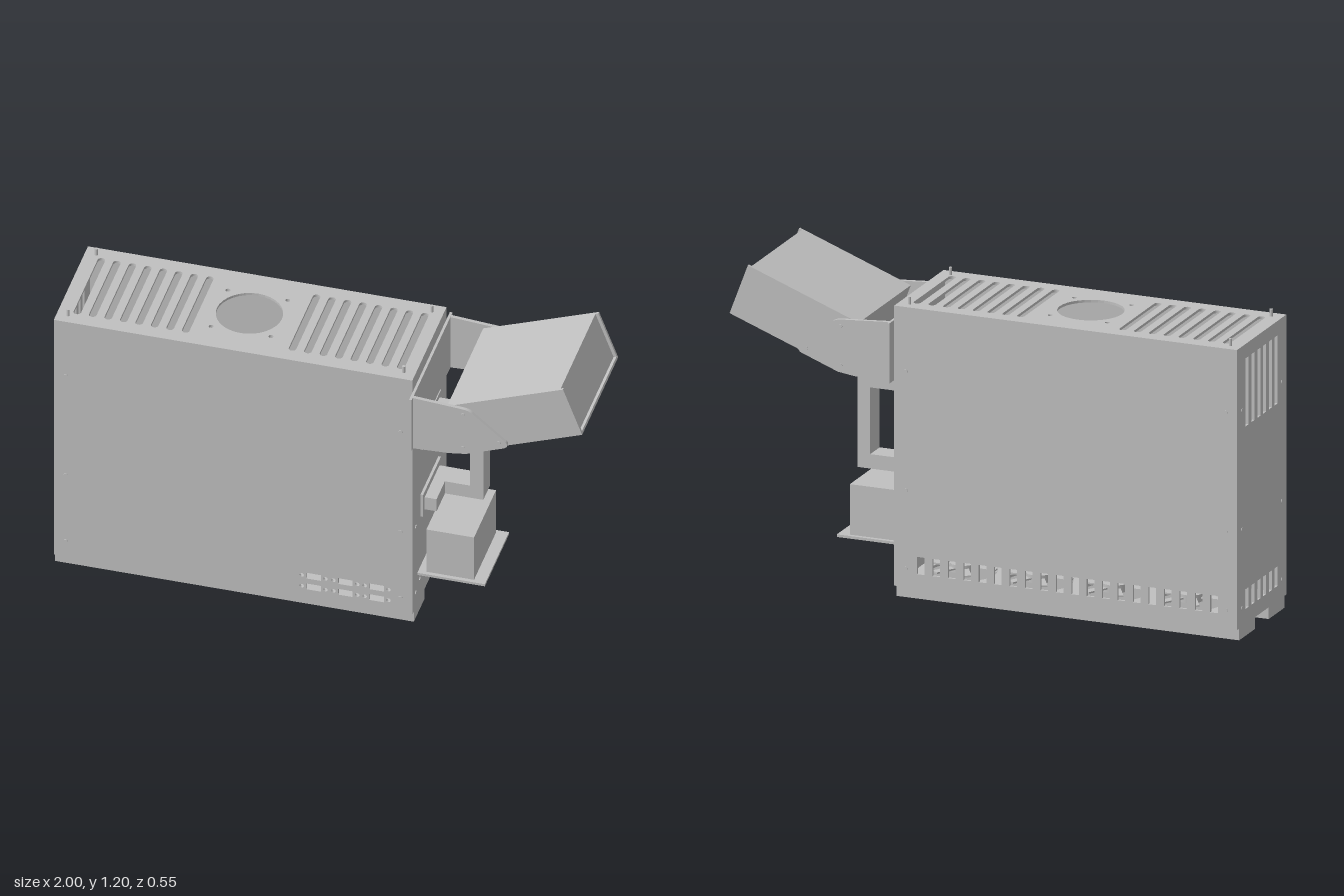
import * as THREE from 'three';

const grey = new THREE.MeshStandardMaterial({ color: 0xc0c0c0 });
grey.name = 'sheet metal grey';
const T = 0.01; // sheet thickness
const X0 = -1, X1 = 0.355, Y0 = 0.045, Y1 = 1.115, ZW = 0.23;

function add(parent, name, geometry) {
  const mesh = new THREE.Mesh(geometry, grey);
  mesh.name = name;
  parent.add(mesh);
  return mesh;
}

// Box given by its min and max limits
function block(parent, name, x0, x1, y0, y1, z0, z1) {
  const g = new THREE.BoxGeometry(x1 - x0, y1 - y0, z1 - z0);
  g.translate((x0 + x1) / 2, (y0 + y1) / 2, (z0 + z1) / 2);
  return add(parent, name, g);
}

function rect(cx, cy, w, h) {
  const p = new THREE.Path();
  p.moveTo(cx - w / 2, cy - h / 2);
  p.lineTo(cx - w / 2, cy + h / 2);
  p.lineTo(cx + w / 2, cy + h / 2);
  p.lineTo(cx + w / 2, cy - h / 2);
  p.closePath();
  return p;
}

const circle = (cx, cy, r) => new THREE.Path().absarc(cx, cy, r, 0, Math.PI * 2, true);

// Rounded slot running along the second axis
function slot(cx, w, half) {
  const r = w / 2, p = new THREE.Path();
  p.absarc(cx, half - r, r, 0, Math.PI, false);
  p.absarc(cx, -half + r, r, Math.PI, Math.PI * 2, false);
  p.closePath();
  return p;
}

// Flat sheet with cut-outs, extruded along +z
function sheet(x0, x1, y0, y1, holes) {
  const s = new THREE.Shape([[x0, y0], [x1, y0], [x1, y1], [x0, y1]].map(p => new THREE.Vector2(...p)));
  s.holes.push(...holes);
  return new THREE.ExtrudeGeometry(s, { depth: T, bevelEnabled: false, curveSegments: 16 });
}

// Short round stud along an axis
function stud(parent, name, axis, x, y, z, r = 0.008, len = 0.006) {
  const g = new THREE.CylinderGeometry(r, r, len, 12);
  if (axis === 'z') g.rotateX(Math.PI / 2);
  if (axis === 'x') g.rotateZ(Math.PI / 2);
  add(parent, name, g).position.set(x, y, z);
}

function buildCabinet() {
  const g = new THREE.Group();
  g.name = 'cabinet';

  // Front wall with six connector openings
  const ports = [];
  for (const y of [0.094, 0.143]) for (const x of [-0.018, 0.102, 0.22]) {
    ports.push(rect(x, y, 0.055, 0.026), circle(x - 0.045, y, 0.008), circle(x + 0.045, y, 0.008));
  }
  add(g, 'frontWall', sheet(X0, X1, Y0, Y1, ports)).position.z = ZW - T;

  // Back wall with a row of vents
  const vents = [];
  for (let i = 0; i < 20; i++) vents.push(rect(0.25 - i * 0.061, 0.133, 0.03, 0.066));
  add(g, 'backWall', sheet(X0, X1, Y0, Y1, vents)).position.z = -ZW;

  // End walls
  const endVents = [];
  for (let i = 0; i < 6; i++) {
    const z = -0.135 + i * 0.054;
    endVents.push(rect(z, 0.93, 0.028, 0.26), rect(z, 0.14, 0.028, 0.075));
  }
  const inner = ZW - T;
  add(g, 'ventedEndWall', sheet(-inner, inner, Y0, Y1, endVents).rotateY(Math.PI / 2)).position.x = X0;
  const cableHoles = [circle(-0.13, 0.14, 0.008), circle(0.13, 0.14, 0.008)];
  add(g, 'fittingsEndWall', sheet(-inner, inner, Y0, Y1, cableHoles).rotateY(Math.PI / 2)).position.x = X1 - T;

  // Top with fan opening and two banks of slots
  const topHoles = [circle(-0.325, 0, 0.123)];
  for (const a of [-1, 1]) for (const b of [-1, 1]) topHoles.push(circle(-0.325 + a * 0.113, b * 0.113, 0.009));
  for (let i = 0; i < 8; i++) {
    topHoles.push(slot(-0.93 + i * 0.0585, 0.028, 0.175), slot(-0.117 + i * 0.0585, 0.028, 0.175));
  }
  add(g, 'topPanel', sheet(X0 + T, X1 - T, -inner, inner, topHoles).rotateX(-Math.PI / 2)).position.y = Y1 - T;

  // Floor with four fan openings, each with a hub
  const fans = [-0.72, -0.42, -0.12, 0.18];
  add(g, 'floor', sheet(X0 + T, X1 - T, -inner, inner, fans.map(x => circle(x, 0, 0.125)))
    .rotateX(-Math.PI / 2)).position.y = Y0;
  for (const x of fans) {
    stud(g, 'fanHub', 'y', x, Y0 + 0.03, 0, 0.05, 0.03);
    for (let i = 0; i < 3; i++) {
      const blade = add(g, 'fanBlade', new THREE.BoxGeometry(0.26, 0.006, 0.03));
      blade.position.set(x, Y0 + 0.03, 0);
      blade.rotation.y = i * Math.PI / 3;
    }
  }

  // Foot rails
  for (const s of [-1, 1]) block(g, 'footRail', X0, X1, 0, Y0, s > 0 ? 0.065 : -0.21, s > 0 ? 0.21 : -0.065);

  // Screws and top pins
  for (const s of [-1, 1]) {
    for (const y of [0.115, 0.415, 0.87]) {
      for (const x of [-0.955, 0.31]) stud(g, 'wallScrew', 'z', x, y, s * ZW);
      stud(g, 'endScrew', 'x', X0 + 0.001, y, s * 0.185);
      if (y < 0.8) stud(g, 'endScrew', 'x', X1, y, s * 0.185);
    }
    for (const x of [-0.957, 0.311]) stud(g, 'topPin', 'y', x, Y1 + 0.01, s * 0.19, 0.006, 0.036);
  }
  return g;
}

function buildHood() {
  const g = new THREE.Group();
  g.name = 'hoodAssembly';
  block(g, 'mountPlate', X1, X1 + T, 0.83, 1.06, -0.275, 0.275);

  // Side brackets
  const outline = new THREE.Shape();
  outline.moveTo(0.36, 0.83);
  outline.lineTo(0.5, 0.836);
  outline.lineTo(0.565, 0.845);
  outline.lineTo(0.71, 0.9);
  outline.quadraticCurveTo(0.73, 0.912, 0.715, 0.928);
  outline.lineTo(0.59, 1.032);
  outline.quadraticCurveTo(0.575, 1.045, 0.55, 1.046);
  outline.lineTo(0.36, 1.06);
  outline.closePath();
  for (const s of [-1, 1]) {
    const plate = new THREE.ExtrudeGeometry(outline, { depth: 0.014, bevelEnabled: false });
    add(g, 'sideBracket', plate).position.z = s > 0 ? 0.246 : -0.26;
    for (const [x, y] of [[0.555, 1.02], [0.69, 0.92], [0.555, 0.87]]) stud(g, 'bracketScrew', 'z', x, y, s * 0.26);
  }

  // Tilted housing with a slightly recessed end face
  const housing = new THREE.Group();
  housing.name = 'tiltedHousing';
  housing.position.set(0.745, 1.0225, 0);
  housing.rotation.z = 0.36;
  const L = 0.234, H = 0.1025, W = 0.243;
  block(housing, 'housingBody', -L, L - 0.012, -H, H, -W, W);
  block(housing, 'lowerRim', L - 0.012, L, -H, -H + T, -W, W);
  for (const s of [-1, 1]) {
    block(housing, 'sideRim', L - 0.012, L, -H + T, H, s > 0 ? W - T : -W, s > 0 ? W : -W + T);
  }
  g.add(housing);
  return g;
}

function buildHandle() {
  const g = new THREE.Group();
  g.name = 'handle';
  for (const [plate, arm] of [[0.72, 0.745], [0.415, 0.435]]) {
    block(g, 'handlePlate', X1, X1 + T, plate, plate + 0.1, -0.12, 0.12);
    block(g, 'handleFoot', X1 + T, 0.41, arm, arm + 0.055, -0.1, 0.1);
    block(g, 'handleArm', 0.41, 0.505, arm, arm + 0.055, -0.1, -0.012);
  }
  block(g, 'handleGrip', 0.505, 0.555, 0.435, 0.8, -0.1, -0.012);
  return g;
}

function buildShelf() {
  const g = new THREE.Group();
  g.name = 'shelfUnit';
  block(g, 'shelfPlate', X1, 0.61, 0.179, 0.189, -0.163, 0.163);
  block(g, 'shelfBox', 0.385, 0.565, 0.189, 0.382, -0.148, 0.148);
  stud(g, 'shelfScrew', 'y', 0.475, 0.179, 0);
  return g;
}

export function createModel() {
  const model = new THREE.Group();
  model.name = 'wallUnit';
  model.add(buildCabinet(), buildHood(), buildHandle(), buildShelf());
  return model;
}
